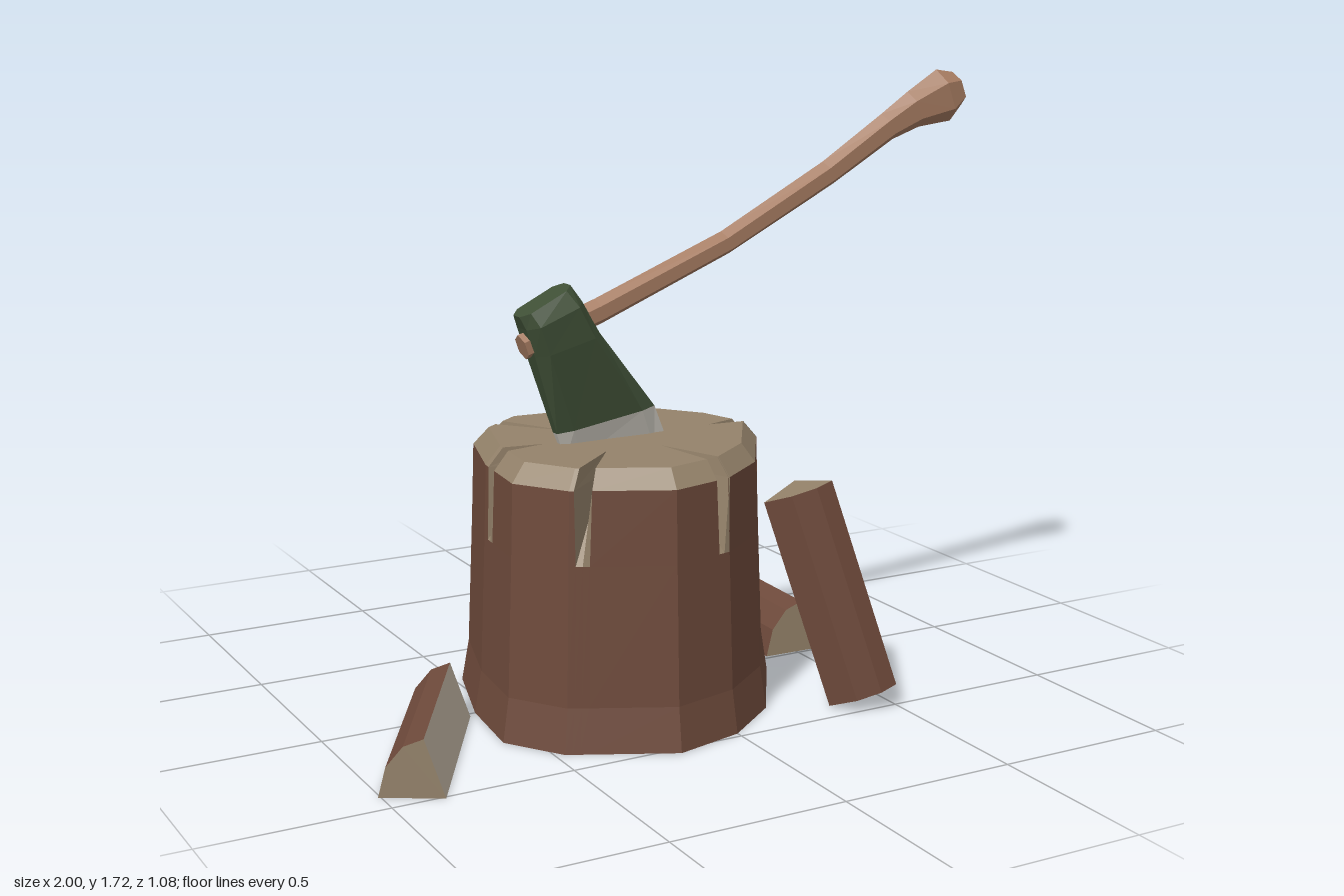
import * as THREE from 'three';

const mat = (name, color) => {
  const m = new THREE.MeshStandardMaterial({ color, flatShading: true });
  m.name = name;
  return m;
};
const V = (x, y, z) => new THREE.Vector3(x, y, z);

// Flat-shaded mesh from a list of triangle corners
function mesh(name, corners, material) {
  const g = new THREE.BufferGeometry().setFromPoints(corners);
  g.computeVertexNormals();
  const m = new THREE.Mesh(g, material);
  m.name = name;
  return m;
}

// Side faces between rings; pick(ring, side) returns the list that takes the face
function loft(rings, pick) {
  for (let r = 0; r < rings.length - 1; r++) {
    const lo = rings[r], hi = rings[r + 1], n = lo.length;
    for (let i = 0; i < n; i++) {
      const j = (i + 1) % n;
      pick(r, i).push(lo[i], lo[j], hi[j], lo[i], hi[j], hi[i]);
    }
  }
}

// Fan caps for convex rings at both ends
function caps(rings, first, last = first) {
  const a = rings[0], b = rings[rings.length - 1];
  for (let i = 1; i < a.length - 1; i++) {
    first.push(a[0], a[i + 1], a[i]);
    last.push(b[0], b[i], b[i + 1]);
  }
}

function makeStump(bark, wood) {
  const group = new THREE.Group();
  group.name = 'stump';
  const cx = -0.12, cz = 0.065;
  const outline = [
    [-0.58, 0.24], [-0.475, 0.395], [-0.2, 0.53], [0, 0.48], [0.17, 0.35], [0.345, 0.07],
    [0.29, -0.11], [0.1, -0.355], [-0.325, -0.385], [-0.475, -0.27], [-0.555, 0],
  ];
  // Cracks by outline edge: position along the edge, inner tip
  const cracks = {
    1: [0.13, -0.25, 0.205], 2: [0.9, -0.09, 0.215], 5: [0.13, 0.15, 0.06],
    7: [0.12, -0.05, -0.115], 8: [0.6, -0.235, -0.06], 10: [0.22, -0.36, 0.05],
  };
  // Height, scale, crack depth, crack half width
  const levels = [
    [0, 1, 0, 0.02], [0.12, 0.955, 0, 0.02], [0.5, 0.92, 0, 0.02],
    [0.7, 0.905, 0.8, 0.026], [0.75, 0.81, 1, 0.026],
  ];
  const inCrack = [];
  const rings = levels.map(([y, s, depth, w], level) => {
    const ring = [];
    const add = (x, z, flag) => {
      ring.push(V(cx + (x - cx) * s, y, cz + (z - cz) * s));
      if (level === 0) inCrack.push(flag);
    };
    outline.forEach(([x, z], i) => {
      add(x, z, false);
      if (!cracks[i]) return;
      const [t, tx, tz] = cracks[i];
      const [nx, nz] = outline[(i + 1) % outline.length];
      const len = Math.hypot(nx - x, nz - z);
      const ex = (nx - x) / len, ez = (nz - z) / len;
      const mx = x + ex * len * t, mz = z + ez * len * t;
      add(mx - ex * w, mz - ez * w, true);
      add(mx, mz, true);
      ring[ring.length - 1].lerp(V(tx, y, tz), depth);
      add(mx + ex * w, mz + ez * w, false);
    });
    return ring;
  });
  const barkFaces = [], woodFaces = [];
  loft(rings, (r, i) => (r === 3 || (r === 2 && inCrack[i]) ? woodFaces : barkFaces));
  group.add(mesh('barkSides', barkFaces, bark), mesh('rimAndCracks', woodFaces, wood));

  // Top and bottom faces
  const face = (ring, sign) => new THREE.ShapeGeometry(
    new THREE.Shape(ring.map((p) => new THREE.Vector2(p.x, -sign * p.z))),
  ).rotateX(-sign * Math.PI / 2).translate(0, ring[0].y, 0);
  const top = new THREE.Mesh(face(rings[4], 1), wood);
  top.name = 'stumpTop';
  const bottom = new THREE.Mesh(face(rings[0], -1), bark);
  bottom.name = 'stumpBottom';
  group.add(top, bottom);
  return group;
}

// Split log: a wedge with its inner edge running from p to q
function makeLog(name, p, q, up, bark, wood, split) {
  const group = new THREE.Group();
  group.name = name;
  const axis = q.clone().sub(p).normalize();
  const side = up.clone().cross(axis).normalize();
  const rise = axis.clone().cross(side);
  const profile = [[0, 0], [-0.053, 0.155], [-0.105, 0.135], [-0.15, 0.08], [-0.17, 0]];
  const rings = [p, q].map((c) => profile.map(([u, v]) =>
    c.clone().addScaledVector(side, u).addScaledVector(rise, v)));
  const barkFaces = [], splitFaces = [], endFaces = [];
  loft(rings, (r, i) => (i === 0 || i === 4 ? splitFaces : barkFaces));
  caps(rings, endFaces);
  group.add(mesh('logBark', barkFaces, bark), mesh('logSplitFaces', splitFaces, split),
    mesh('logEnds', endFaces, wood));
  return group;
}

function makeAxe(handleMat, headMat, steel) {
  const group = new THREE.Group();
  group.name = 'axe';
  const z = 0.067;

  // Handle: x, y, half height, half width
  const path = [
    [-0.43, 1.025, 0.036, 0.03], [-0.2, 1.105, 0.036, 0.03], [0.195, 1.265, 0.034, 0.03],
    [0.53, 1.44, 0.037, 0.03], [0.73, 1.562, 0.042, 0.03], [0.82, 1.608, 0.055, 0.034],
    [0.925, 1.645, 0.079, 0.044], [0.975, 1.664, 0.05, 0.032],
  ];
  const handleRings = path.map(([x, y, h, w], i) => {
    const a = path[Math.max(i - 1, 0)], b = path[Math.min(i + 1, path.length - 1)];
    const angle = Math.atan2(b[1] - a[1], b[0] - a[0]);
    return Array.from({ length: 6 }, (_, k) => {
      const c = Math.cos(k * Math.PI / 3) * h, s = Math.sin(k * Math.PI / 3) * w / 0.866;
      return V(x - Math.sin(angle) * c, y + Math.cos(angle) * c, z + s);
    });
  });
  const handleFaces = [];
  loft(handleRings, () => handleFaces);
  caps(handleRings, handleFaces);

  // Head: left x, y, right x, y, half thickness, from the eye down to the edge
  const sections = [
    [-0.445, 1.11, -0.295, 1.185, 0.043], [-0.43, 1.075, -0.265, 1.14, 0.066],
    [-0.405, 1.0, -0.212, 1.05, 0.062], [-0.335, 0.78, -0.035, 0.828, 0.027],
    [-0.305, 0.7, 0.018, 0.705, 0.003],
  ];
  const octagon = [[1, -0.45], [1, 0.45], [0.7, 1], [-0.7, 1],
    [-1, 0.45], [-1, -0.45], [-0.7, -1], [0.7, -1]];
  const headRings = sections.map(([x0, y0, x1, y1, t]) => octagon.map(([u, v]) =>
    V(x0 + (x1 - x0) * (u + 1) / 2, y0 + (y1 - y0) * (u + 1) / 2, z + v * t)));
  const headFaces = [], steelFaces = [];
  loft(headRings, (r) => (r === 3 ? steelFaces : headFaces));
  caps(headRings, headFaces, steelFaces);

  group.add(mesh('axeHandle', handleFaces, handleMat), mesh('axeHead', headFaces, headMat),
    mesh('axeBlade', steelFaces, steel));
  return group;
}

export function createModel() {
  const bark = mat('bark', 0x6e4a3b);
  const wood = mat('endGrain', 0x94826a);
  const split = mat('splitWood', 0xbeb1a0);
  const handle = mat('handleWood', 0xa47a60);
  const green = mat('greenPaint', 0x3f4f36);
  const steel = mat('steel', 0xc2beb5);

  const model = new THREE.Group();
  model.name = 'choppingBlock';
  model.add(
    makeStump(bark, wood),
    makeAxe(handle, green, steel),
    makeLog('backLog', V(0.583, 0, -0.54), V(0.567, 0, -0.008), V(0, 1, 0), bark, wood, split),
    makeLog('rightLog', V(-0.578, 0, 0.02), V(-0.86, 0, 0.51), V(0, 1, 0), bark, wood, split),
    makeLog('leaningLog', V(0.31, 0.612, 0.26), V(0.465, 0.035, 0.365), V(0.42, 0.26, 0.856), bark, wood, split),
  );
  return model;
}
